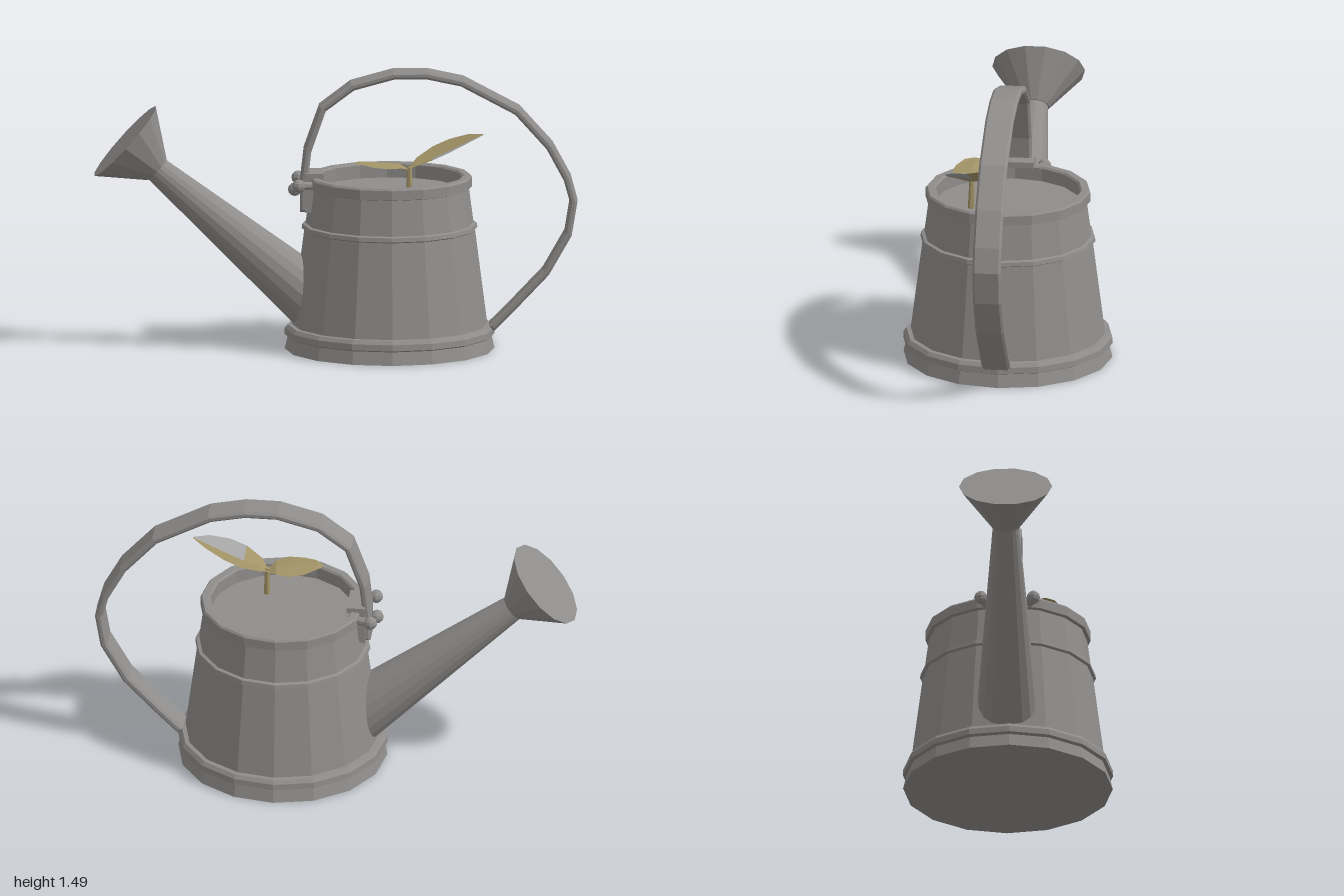
import * as THREE from 'three';

const metal = new THREE.MeshStandardMaterial({ name: 'grey metal', color: 0x8f8d8b, flatShading: true });
const leafTan = new THREE.MeshStandardMaterial({ name: 'olive tan leaf', color: 0xa39467, flatShading: true, side: THREE.DoubleSide });
const leafGrey = new THREE.MeshStandardMaterial({ name: 'pale grey leaf', color: 0xa3a3a3, flatShading: true, side: THREE.DoubleSide });

const V = (x, y, z = 0) => new THREE.Vector3(x, y, z);

function part(parent, name, geometry, material = metal) {
  const mesh = new THREE.Mesh(geometry, material);
  mesh.name = name;
  parent.add(mesh);
  return mesh;
}

// Tapered cylinder running from point a to point b
function taper(parent, name, a, b, ra, rb, sides, material = metal) {
  const mesh = part(parent, name, new THREE.CylinderGeometry(rb, ra, a.distanceTo(b), sides), material);
  mesh.position.copy(a).lerp(b, 0.5);
  mesh.quaternion.setFromUnitVectors(V(0, 1, 0), b.clone().sub(a).normalize());
  return mesh;
}

// Leaf lofted from rows [x, y, z, halfWidth, edgeLift]; greyFrom is the row where one half turns grey
function leaf(parent, name, rows, across, greyFrom) {
  const pos = [], tan = [], grey = [];
  for (const [x, y, z, w, lift] of rows)
    for (const s of [-1, 0, 1]) pos.push(x + across.x * w * s, y + lift * Math.abs(s) + across.y * w * s, z + across.z * w * s);
  for (let i = 0; i < rows.length - 1; i++)
    for (let j = 0; j < 2; j++) {
      const a = i * 3 + j, c = a + 3;
      (j === 1 && i >= greyFrom ? grey : tan).push(a, a + 1, c, a + 1, c + 1, c);
    }
  const g = new THREE.BufferGeometry();
  g.setAttribute('position', new THREE.Float32BufferAttribute(pos, 3));
  g.setIndex([...tan, ...grey]);
  g.addGroup(0, tan.length, 0);
  g.addGroup(tan.length, grey.length, 1);
  g.computeVertexNormals();
  part(parent, name, g, [leafTan, leafGrey]);
}

export function createModel() {
  const model = new THREE.Group();
  model.name = 'wateringCan';
  const can = new THREE.Group();
  can.name = 'can';
  can.position.set(0.225, 0, -0.21);
  model.add(can);

  // Body: base band, two hoops, rim and inner lid in one turned profile
  const profile = [
    [0, 0], [0.553, 0], [0.537, 0.07], [0.555, 0.078], [0.553, 0.11], [0.538, 0.13], [0.515, 0.132],
    [0.45, 0.638], [0.464, 0.645], [0.46, 0.667], [0.443, 0.672],
    [0.418, 0.86], [0.436, 0.865], [0.436, 0.915], [0.428, 0.925], [0.392, 0.925], [0.383, 0.915], [0.383, 0.845], [0, 0.84],
  ].map(([r, y]) => new THREE.Vector2(r, y));
  part(can, 'body', new THREE.LatheGeometry(profile, 16, 0.044));

  // Spout and handle share one diagonal plane: local +x points along the spout
  const plane = new THREE.Group();
  plane.name = 'spoutAndHandle';
  plane.rotation.y = -2.332;
  can.add(plane);

  // Spout and rose
  const neck = V(1.235, 0.965);
  taper(plane, 'spout', V(0.40, 0.257), neck, 0.163, 0.068, 18);
  taper(plane, 'rose', V(1.225, 0.957), V(1.394, 1.11), 0.075, 0.246, 14);

  // Handle: band between an outer path and its inward offset
  const outer = [
    [0.472, 0.74], [0.472, 0.9], [0.452, 1.07], [0.37, 1.3], [0.205, 1.425], [-0.02, 1.487], [-0.2, 1.487],
    [-0.39, 1.447], [-0.685, 1.29], [-0.86, 1.096], [-0.955, 0.92], [-0.99, 0.79], [-0.96, 0.61], [-0.84, 0.4],
    [-0.66, 0.21], [-0.55, 0.1],
  ].map(([x, y]) => new THREE.Vector2(x, y));
  const inner = outer.map((p, i) => {
    const t = outer[Math.min(i + 1, outer.length - 1)].clone().sub(outer[Math.max(i - 1, 0)]).normalize();
    return new THREE.Vector2(p.x - t.y * 0.04, p.y + t.x * 0.04);
  });
  const bevel = 0.012, width = 0.15;
  const band = new THREE.ExtrudeGeometry(new THREE.Shape([...outer, ...inner.reverse()]), {
    depth: width - 2 * bevel, bevelEnabled: true, bevelThickness: bevel, bevelSize: bevel, bevelOffset: -bevel, bevelSegments: 1,
  });
  band.translate(0, 0, -width / 2 + bevel);
  part(plane, 'handle', band);

  // Bracket that clips the handle over the rim
  part(plane, 'bracketPlate', new THREE.BoxGeometry(0.045, 0.2, 0.19)).position.set(0.425, 0.84, 0);
  part(plane, 'bracketTop', new THREE.BoxGeometry(0.1, 0.03, 0.19)).position.set(0.398, 0.932, 0);

  // Bolts: one through the handle, one on the rim at each side
  for (const [angle, y] of [[-0.28, 0.89], [0, 0.85], [0.28, 0.89]]) {
    const at = (r) => V(r * Math.cos(angle), y, r * Math.sin(angle));
    taper(plane, 'boltShank', at(0.41), at(0.49), 0.022, 0.022, 8);
    part(plane, 'boltHead', new THREE.SphereGeometry(0.036, 8, 6)).position.copy(at(0.5));
  }

  // Sprout
  const sprout = new THREE.Group();
  sprout.name = 'sprout';
  model.add(sprout);
  taper(sprout, 'stem', V(0.43, 0.84, -0.16), V(0.425, 1.0, -0.16), 0.018, 0.014, 6, leafTan);
  leaf(sprout, 'largeLeaf', [
    [0.415, 0.985, -0.16, 0.01, 0], [0.445, 1.01, -0.195, 0.085, 0.015], [0.5, 1.045, -0.26, 0.138, 0.025],
    [0.56, 1.085, -0.325, 0.135, 0.025], [0.63, 1.135, -0.4, 0.085, 0.015], [0.685, 1.17, -0.455, 0.008, 0],
  ], V(0.71, -0.1, 0.69), 2);
  leaf(sprout, 'smallLeaf', [
    [0.425, 0.985, -0.165, 0.01, 0], [0.395, 1.01, -0.125, 0.075, -0.005], [0.355, 1.02, -0.07, 0.105, -0.012],
    [0.305, 1.025, -0.01, 0.09, -0.012], [0.26, 1.025, 0.04, 0.05, 0], [0.235, 1.02, 0.067, 0.006, 0],
  ], V(0.78, 0, 0.62), 9);

  return model;
}
